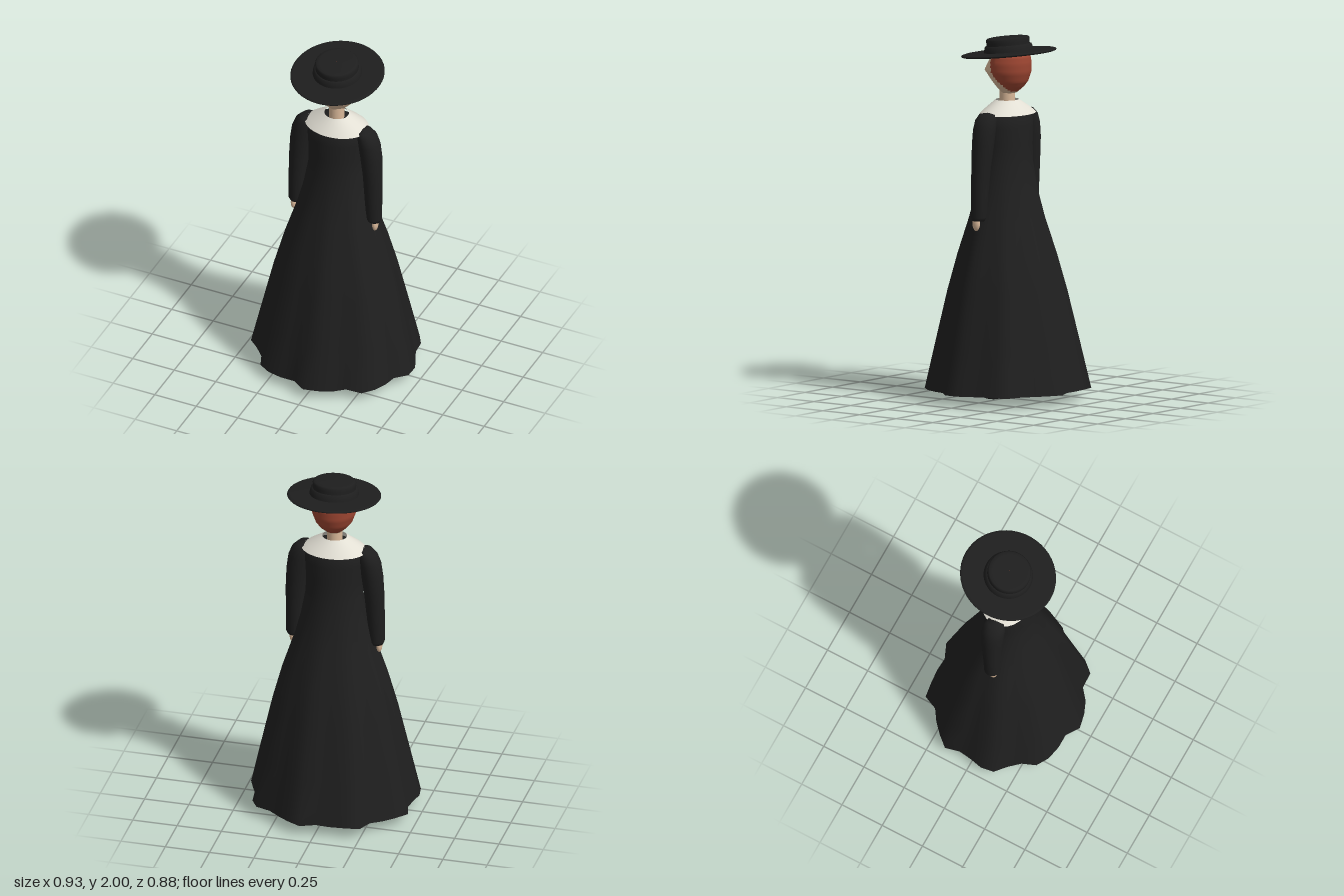
import * as THREE from 'three';

const mat = (name, color, side = THREE.FrontSide) => {
  const m = new THREE.MeshStandardMaterial({ color, side });
  m.name = name;
  return m;
};

// Closed rings stacked upward; point(row, col) gives a vertex, pick(x, y, z) a material index
function loft(rows, cols, point, pick = () => 0) {
  const pts = [], faces = [[], []];
  for (let r = 0; r < rows; r++) for (let c = 0; c < cols; c++) pts.push(point(r, c));
  for (let r = 0; r < rows - 1; r++) {
    for (let c = 0; c < cols; c++) {
      const n = (c + 1) % cols;
      const q = [r * cols + c, r * cols + n, (r + 1) * cols + n, (r + 1) * cols + c];
      const mid = [0, 1, 2].map((k) => q.reduce((s, i) => s + pts[i][k], 0) / 4);
      faces[pick(...mid)].push(q[0], q[1], q[2], q[0], q[2], q[3]);
    }
  }
  const g = new THREE.BufferGeometry();
  g.setAttribute('position', new THREE.Float32BufferAttribute(pts.flat(), 3));
  g.setIndex(faces.flat());
  g.addGroup(0, faces[0].length, 0);
  if (faces[1].length) g.addGroup(faces[0].length, faces[1].length, 1);
  g.computeVertexNormals();
  return g;
}

// Elliptical rings: [y, centre x, centre z, radius x, radius z]
const tube = (rings, cols = 24) => loft(rings.length, cols, (r, c) => {
  const [y, cx, cz, rx, rz] = rings[r], a = (c / cols) * Math.PI * 2;
  return [cx + rx * Math.sin(a), y, cz + rz * Math.cos(a)];
});

// Linear resampling of a table of rows
function refine(table, n) {
  const out = [];
  for (let i = 0; i < table.length - 1; i++)
    for (let k = 0; k < n; k++)
      out.push(table[i].map((v, j) => THREE.MathUtils.lerp(v, table[i + 1][j], k / n)));
  return [...out, table[table.length - 1]];
}

export function createModel() {
  const cloth = mat('black cloth', 0x1e1e1e);
  const dressCloth = mat('dress cloth', 0x1f1f1f, THREE.DoubleSide);
  const linen = mat('collar linen', 0xe2dfd4, THREE.DoubleSide);
  const skin = mat('skin', 0xd9b899);
  const hairMat = mat('red hair', 0x9c4531);
  const model = new THREE.Group();
  const add = (name, geo, material, parent = model) => {
    const m = new THREE.Mesh(geo, material);
    m.name = name;
    parent.add(m);
    return m;
  };
  const CX = -0.006;

  // Dress: smooth bodice blending into an uneven, scalloped hem
  const hem = [
    [-.006, .435], [.076, .417], [.148, .387], [.208, .337], [.3, .333], [.353, .272],
    [.385, .202], [.4, .132], [.461, .072], [.464, -.005], [.437, -.07], [.405, -.14],
    [.398, -.222], [.36, -.285], [.278, -.312], [.213, -.362], [.153, -.402], [.076, -.44],
    [-.006, -.405], [-.084, -.409], [-.166, -.402], [-.25, -.39], [-.285, -.312], [-.348, -.27],
    [-.408, -.215], [-.46, -.155], [-.44, -.075], [-.45, 0], [-.466, .07], [-.454, .145],
    [-.395, .195], [-.34, .255], [-.31, .33], [-.243, .37], [-.16, .387], [-.08, .387],
  ];
  // [y, radius x, radius z, share of hem shape]
  const dress = [
    [.06, .465, .437, 1], [.3, .412, .382, .9], [.6, .345, .312, .75], [.8, .292, .257, .6],
    [1, .228, .195, .35], [1.15, .188, .155, .15], [1.3, .16, .13, 0], [1.4, .158, .127, 0],
    [1.5, .165, .126, 0], [1.565, .165, .12, 0], [1.595, .13, .095, 0], [1.62, .07, .06, 0],
    [1.625, .002, .002, 0],
  ];
  add('dress', loft(dress.length, 36, (r, c) => {
    const [y, rx, rz, w] = dress[r], a = (c / 36) * Math.PI * 2;
    return [
      THREE.MathUtils.lerp(CX + rx * Math.sin(a), hem[c][0] * rx / .465, w), y,
      THREE.MathUtils.lerp(rz * Math.cos(a), hem[c][1] * rz / .437, w),
    ];
  }), dressCloth);

  // Collar and neck
  add('collar', tube([
    [1.57, CX, -.003, .183, .137], [1.595, CX, -.002, .152, .114], [1.645, CX, 0, .068, .062],
  ], 32), linen);
  add('neck', new THREE.CylinderGeometry(.043, .043, .13, 20), skin).position.set(CX, 1.655, 0);

  // Arms, legs and shoes, mirrored
  for (const s of [-1, 1]) {
    const side = s > 0 ? 'left' : 'right';
    const ring = (y, x, z, rx, rz) => [y, CX + s * x, z, rx, rz];
    add(side + 'Sleeve', tube([
      ring(.998, .235, .018, .002, .002), ring(1, .235, .018, .034, .034),
      ring(1.02, .233, .018, .044, .045), ring(1.15, .229, .015, .049, .048),
      ring(1.3, .222, .01, .055, .054), ring(1.42, .211, .006, .06, .062),
      ring(1.5, .199, .005, .061, .064), ring(1.55, .185, .005, .055, .061),
      ring(1.58, .172, .006, .036, .048), ring(1.588, .165, .006, .002, .002),
    ]), cloth);
    const hand = add(side + 'Hand', new THREE.SphereGeometry(1, 16, 12), skin);
    hand.scale.set(.016, .04, .023);
    hand.position.set(CX + s * .245, .983, .027);
    add(side + 'Leg', new THREE.CylinderGeometry(.055, .036, .85, 20), cloth)
      .position.set(CX + s * .097, .495, -.01);
    const shoe = add(side + 'Shoe', new THREE.SphereGeometry(1, 20, 14), cloth);
    shoe.scale.set(.05, .053, .107);
    shoe.position.set(CX + s * .097, .053, .035);
  }

  // Head with a pointed face; the back of it is hair. [y, radius x, front z, back z]
  const head = refine([
    [1.675, .004, -.005, -.015], [1.685, .045, .035, -.055], [1.72, .08, .073, -.097],
    [1.75, .102, .103, -.119], [1.8, .12, .153, -.136], [1.85, .121, .122, -.138],
    [1.89, .112, .095, -.132], [1.93, .08, .06, -.085], [1.935, .002, -.008, -.012],
  ], 4);
  const hairline = (y) => (y > 1.81 ? .03 + (y - 1.81) * .22 : .03 - (1.81 - y) * .75);
  add('headAndHair', loft(head.length, 48, (r, c) => {
    const [y, rx, zf, zb] = head[r], a = (c / 48) * Math.PI * 2;
    const sn = Math.sin(a), cs = Math.cos(a);
    const front = .55 * cs + .45 * (1 - Math.abs(sn));
    return [CX + rx * sn, y, -.01 + (cs > 0 ? (zf + .01) * front : (-.01 - zb) * cs)];
  }, (x, y, z) => (z < hairline(y) ? 1 : 0)), [skin, hairMat]);

  // Hat: wide flat brim and low crown, tipped forward
  const hat = new THREE.Group();
  hat.name = 'hat';
  hat.position.set(CX, 1.902, -.011);
  hat.rotation.x = .11;
  model.add(hat);
  const lathe = (pts) => new THREE.LatheGeometry(pts.map((p) => new THREE.Vector2(...p)), 48);
  add('hatBrim', lathe([
    [.001, -.008], [.25, -.008], [.262, -.004], [.265, 0], [.262, .004], [.25, .008], [.001, .01],
  ]), cloth, hat).scale.x = .968;
  add('hatCrown', lathe([
    [.12, 0], [.118, .06], [.119, .076], [.112, .084], [.095, .087], [.001, .089],
  ]), cloth, hat);
  add('hatBand', lathe([
    [.136, .004], [.134, .02], [.128, .042], [.119, .045],
  ]), cloth, hat);
  return model;
}
